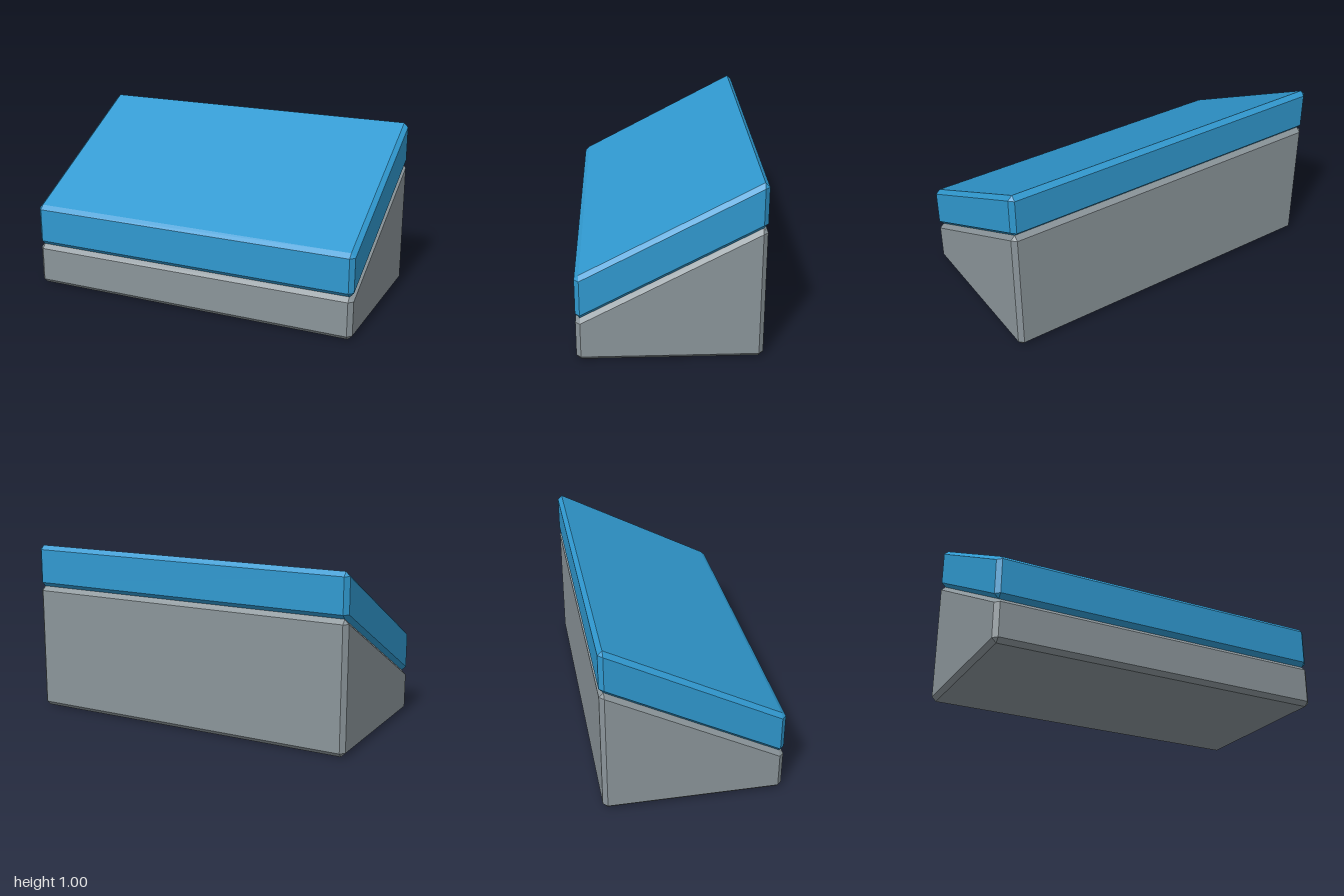
import * as THREE from 'three';
import { ConvexGeometry } from 'three/addons/geometries/ConvexGeometry.js';

const BEVEL = 0.025;
const HALF_W = 1;
const HALF_D = 0.5;

// Chamfered block whose lower and upper faces may slope from front to back.
// Each corner is cut off, leaving one point on each of its three faces.
function bevelledBlock(bottomFront, bottomBack, topFront, topBack) {
  const points = [];
  const w = HALF_W - BEVEL;
  const d = HALF_D - BEVEL;
  for (const sx of [-1, 1]) {
    for (const sz of [-1, 1]) {
      const heights = [
        [sz > 0 ? bottomFront : bottomBack, 1],
        [sz > 0 ? topFront : topBack, -1],
      ];
      for (const [y, inward] of heights) {
        const inset = y + inward * BEVEL;
        points.push(
          new THREE.Vector3(sx * w, y, sz * d),
          new THREE.Vector3(sx * HALF_W, inset, sz * d),
          new THREE.Vector3(sx * w, inset, sz * HALF_D),
        );
      }
    }
  }
  return new ConvexGeometry(points);
}

export function createModel() {
  const model = new THREE.Group();
  model.name = 'slopedBlock';

  const grey = new THREE.MeshStandardMaterial({ name: 'stone grey', color: 0x8b959a, flatShading: true });
  const blue = new THREE.MeshStandardMaterial({ name: 'bright blue', color: 0x3099d0, flatShading: true });

  // Wedge base with a flat underside
  const base = new THREE.Mesh(bevelledBlock(0, 0, 0.25, 0.75), grey);
  base.name = 'wedgeBase';

  // Slanted slab resting on the wedge
  const slab = new THREE.Mesh(bevelledBlock(0.25, 0.75, 0.5, 1), blue);
  slab.name = 'slopedTopSlab';

  model.add(base, slab);
  return model;
}
